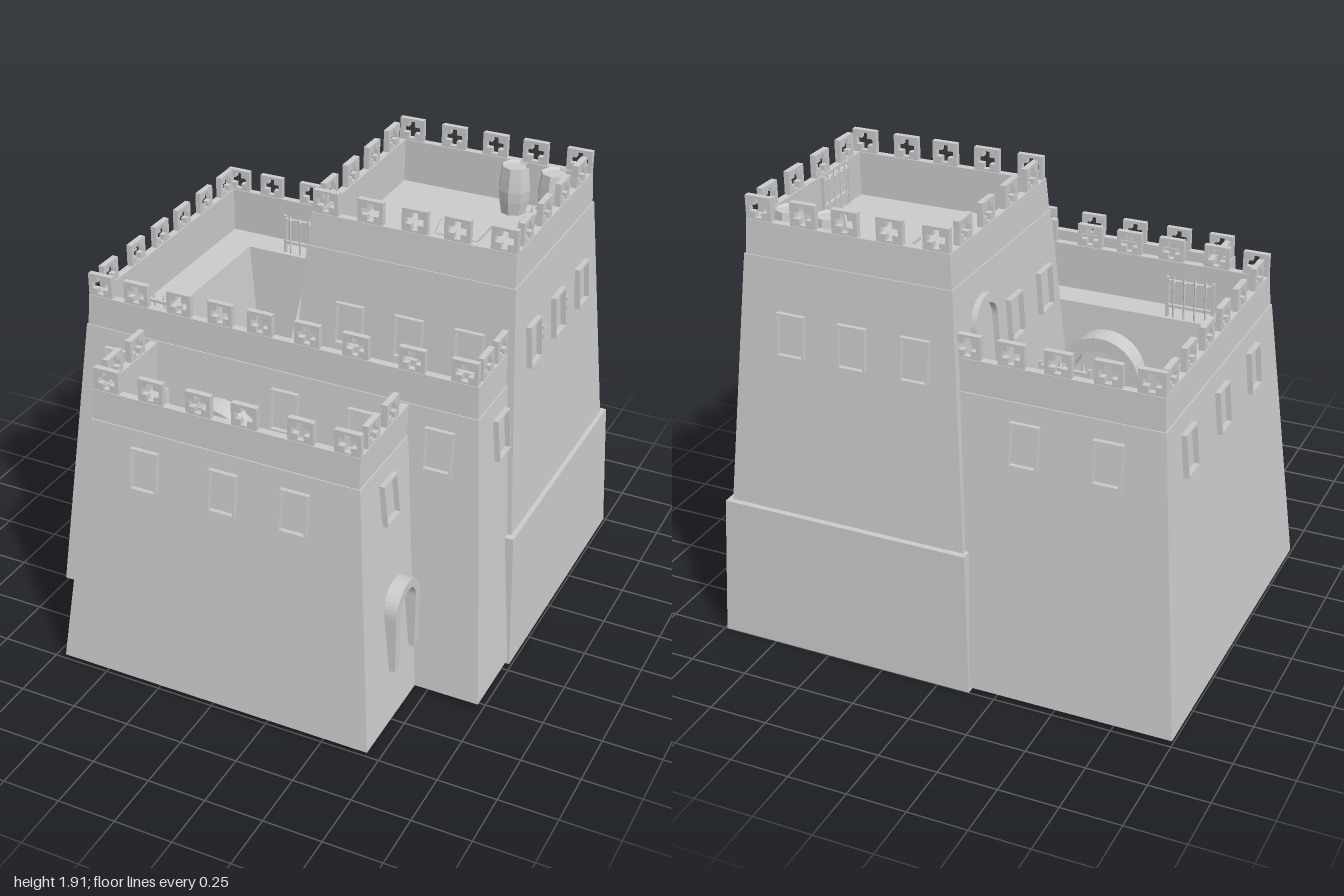
import * as THREE from 'three';

const mat = new THREE.MeshStandardMaterial({ color: 0xcccccc, flatShading: true, side: THREE.DoubleSide });
const FLOOR = 0.28;

function add(parent, geo, name, x = 0, y = 0, z = 0) {
  const m = new THREE.Mesh(geo, mat);
  m.name = name;
  m.position.set(x, y, z);
  parent.add(m);
  return m;
}

// Rectangular shell: rings of [y, x0, x1, z0, z1] joined by quads, last ring capped
function shell(rings) {
  const pos = [];
  const corners = ([y, x0, x1, z0, z1]) => [[x0, y, z1], [x1, y, z1], [x1, y, z0], [x0, y, z0]];
  const quad = (a, b, c, d) => pos.push(...a, ...b, ...c, ...a, ...c, ...d);
  for (let i = 0; i < rings.length - 1; i++) {
    const lo = corners(rings[i]), hi = corners(rings[i + 1]);
    for (let k = 0; k < 4; k++) quad(lo[k], lo[(k + 1) % 4], hi[(k + 1) % 4], hi[k]);
  }
  quad(...corners(rings[rings.length - 1]));
  const g = new THREE.BufferGeometry();
  g.setAttribute('position', new THREE.Float32BufferAttribute(pos, 3));
  g.computeVertexNormals();
  return g;
}

function rect(w, h, Type = THREE.Shape) {
  const s = new Type();
  s.moveTo(-w / 2, -h / 2);
  s.lineTo(w / 2, -h / 2);
  s.lineTo(w / 2, h / 2);
  s.lineTo(-w / 2, h / 2);
  s.closePath();
  return s;
}

function cross(a, b, Type = THREE.Path) {
  const pts = [[b, a], [b, b], [a, b], [a, -b], [b, -b], [b, -a], [-b, -a], [-b, -b], [-a, -b], [-a, b], [-b, b], [-b, a]];
  return new Type(pts.map(p => new THREE.Vector2(...p)));
}

const extrude = (shape, depth) => new THREE.ExtrudeGeometry(shape, { depth, bevelEnabled: false, curveSegments: 10 });

// Arch band standing on y = 0
function archGeo(w, h, t, depth) {
  const r = w / 2, s = new THREE.Shape();
  s.moveTo(r, 0);
  s.lineTo(r, h - r);
  s.absarc(0, h - r, r, 0, Math.PI, false);
  s.lineTo(-r, 0);
  s.lineTo(-r + t, 0);
  s.lineTo(-r + t, h - r);
  s.absarc(0, h - r, r - t, Math.PI, 0, true);
  s.lineTo(r - t, 0);
  s.closePath();
  return extrude(s, depth);
}

const merlonShape = rect(0.11, 0.1);
merlonShape.holes.push(cross(0.038, 0.014));
const merlonGeo = extrude(merlonShape, 0.025);
const frameShape = rect(0.122, 0.18);
frameShape.holes.push(rect(0.106, 0.164, THREE.Path));
const frameGeo = extrude(frameShape, 0.028);
const slitGeo = extrude(cross(0.028, 0.01, THREE.Shape), 0.01);
const doorGeo = archGeo(0.23, 0.37, 0.04, 0.06);

// Outer face of each block: side -> [ring index, sign, turn about y]
const SIDES = { front: [4, 1, 0], right: [2, 1, Math.PI / 2], back: [3, -1, Math.PI], left: [1, -1, -Math.PI / 2] };

// Group lying on a sloped wall, its +z pointing outwards; a wall runs between its first two rings
function onWall(parent, [a, b], side, u, y, name, upright = false) {
  const [k, sign, turn] = SIDES[side];
  const slope = (b[k] - a[k]) / (b[0] - a[0]);
  const d = a[k] + slope * (y - a[0]);
  const g = new THREE.Group();
  g.name = name;
  g.rotation.order = 'YXZ';
  g.rotation.set(upright ? 0 : Math.atan(slope * sign), turn, 0);
  if (k > 2) g.position.set(u, y, d);
  else g.position.set(d, y, u);
  parent.add(g);
  return g;
}

function windows(parent, rings, side, y, list) {
  for (const u of list) add(onWall(parent, rings, side, u, y, 'window'), frameGeo, 'windowFrame', 0, 0, -0.005);
}

function merlons(parent, rings, side, list) {
  const [k, sign, turn] = SIDES[side], top = rings[rings.length - 1];
  for (const u of list) {
    const d = top[k] - sign * 0.028;
    const m = add(parent, merlonGeo, 'merlon', k > 2 ? u : d, top[0] + 0.047, k > 2 ? d : u);
    m.rotation.y = turn;
  }
}

// Walls up to a parapet, walkway inside, optional sunken yard
function block(parent, name, outer, walkY, yard = []) {
  const [y, x0, x1, z0, z1] = outer[outer.length - 1], t = 0.033;
  const rim = h => [h, x0 + t, x1 - t, z0 + t, z1 - t];
  const g = new THREE.Group();
  g.name = name;
  parent.add(g);
  add(g, shell([...outer, rim(y), rim(walkY), ...yard]), name + 'Walls');
  return g;
}

function weaponRack(parent, x, y, z, turn) {
  const g = new THREE.Group();
  g.name = 'weaponRack';
  g.position.set(x, y, z);
  g.rotation.y = turn;
  parent.add(g);
  for (const s of [-1, 1]) add(g, new THREE.BoxGeometry(0.012, 0.18, 0.015), 'rackPost', s * 0.1, 0.09, 0);
  for (const h of [0.05, 0.16]) add(g, new THREE.BoxGeometry(0.2, 0.012, 0.015), 'rackRail', 0, h, 0);
  for (let i = 0; i < 4; i++) {
    const px = -0.07 + i * 0.047;
    add(g, new THREE.CylinderGeometry(0.004, 0.004, 0.165, 6), 'spearShaft', px, 0.0825, 0.01);
    add(g, new THREE.ConeGeometry(0.01, 0.03, 4), 'spearHead', px, 0.178, 0.01);
  }
}

export function createModel() {
  const root = new THREE.Group();
  root.name = 'castle';

  // Main keep with sunken courtyard; parapet stands slightly back from the wall
  const keep = [[0.02, -1, 0.98, -0.99, 0.535], [1.265, -0.887, 0.872, -0.852, 0.397], [1.265, -0.882, 0.867, -0.847, 0.392], [1.4, -0.875, 0.86, -0.84, 0.385]];
  const k = block(root, 'keep', keep, 1.2, [[1.2, -0.69, 0.69, -0.67, 0.22], [FLOOR, -0.58, 0.58, -0.62, 0.15]]);
  add(k, new THREE.BoxGeometry(1.38, 0.01, 0.89), 'keepBaseFloor', 0, FLOOR - 0.007, -0.225);
  merlons(k, keep, 'front', [-0.82, -0.65, -0.45, -0.26, -0.08, 0.13, 0.34, 0.58, 0.8]);
  merlons(k, keep, 'back', [-0.82, -0.65, -0.45, -0.26, -0.08]);
  merlons(k, keep, 'left', [-0.75, -0.56, -0.36, -0.17, 0.03, 0.25]);
  merlons(k, keep, 'right', [0.28, 0.13]);
  windows(k, keep, 'front', 1.1, [-0.73, 0.05, 0.39, 0.72]);
  windows(k, keep, 'back', 1.1, [-0.67, -0.33]);
  windows(k, keep, 'left', 1.1, [-0.65, -0.27, 0.11]);
  windows(k, keep, 'right', 1.1, [0.2]);
  weaponRack(k, -0.42, 1.2, -0.7, 0);
  weaponRack(k, -0.58, 1.2, 0.245, Math.PI);

  // Landing and ramp from the courtyard up to the tower door
  const ramp = new THREE.Shape([[-0.67, FLOOR], [0.05, FLOOR], [-0.5, 1.2], [-0.67, 1.2]].map(p => new THREE.Vector2(...p)));
  add(k, extrude(ramp, 0.3), 'ramp', -0.02, 0, 0).rotation.y = -Math.PI / 2;
  add(k, doorGeo, 'rampDoorArch', -0.29, FLOOR, -0.335).rotation.y = -Math.PI / 2;

  // Passage arches on both faces of the wall between courtyard and gatehouse
  const passage = archGeo(0.36, 0.82, 0.06, 0.1);
  add(k, passage, 'courtyardArch', -0.23, FLOOR, 0.115);
  add(k, passage, 'gateArch', -0.23, FLOOR, 0.44);

  // Front gatehouse, its back lying just inside the keep wall
  const gate = [[0.02, -0.7, 0.7, 0.53, 1], [1.13, -0.587, 0.587, 0.404, 0.852], [1.13, -0.582, 0.582, 0.404, 0.847], [1.26, -0.58, 0.58, 0.358, 0.837]];
  const f = block(root, 'gatehouse', gate, 1.07, [[1.07, -0.49, 0.49, 0.405, 0.75], [FLOOR, -0.42, 0.42, 0.5, 0.71]]);
  merlons(f, gate, 'front', [-0.52, -0.32, -0.11, 0.09, 0.33, 0.525]);
  windows(f, gate, 'front', 0.97, [-0.335, 0.015, 0.325]);
  for (const side of ['left', 'right']) {
    const s = side === 'left' ? -1 : 1;
    merlons(f, gate, side, [0.54, 0.71]);
    windows(f, gate, side, 0.97, [0.635]);
    add(onWall(f, gate, side, 0.635, 0.24, 'sideDoor', true), doorGeo, 'sideDoorArch', 0, 0, -0.035);
    add(f, doorGeo, 'innerDoorArch', s * 0.42, FLOOR, 0.635).rotation.y = -s * Math.PI / 2;
  }
  add(f, new THREE.BoxGeometry(0.035, 0.035, 0.23), 'doorSill', -0.728, 0.24, 0.635);

  // Tall tower with a wider plinth
  const plinth = [[0, -0.14, 0.99, -1, 0.21], [0.61, -0.115, 0.965, -0.97, 0.185]];
  const body = [[0.61, -0.1, 0.945, -0.945, 0.155], [1.67, -0.027, 0.87, -0.845, 0.065], [1.67, -0.022, 0.865, -0.84, 0.06], [1.81, -0.015, 0.86, -0.83, 0.045]];
  const t = block(root, 'tower', [...plinth, ...body], 1.62);
  add(t, new THREE.BoxGeometry(1.09, 0.01, 1.17), 'towerBaseFloor', 0.425, FLOOR - 0.011, -0.395);
  merlons(t, body, 'front', [0.045, 0.24, 0.43, 0.61, 0.805]);
  merlons(t, body, 'back', [0.045, 0.24, 0.43, 0.61, 0.805]);
  for (const side of ['left', 'right']) merlons(t, body, side, [-0.085, -0.285, -0.49, -0.69]);
  windows(t, body, 'front', 1.37, [0.18, 0.44, 0.7]);
  windows(t, body, 'back', 1.37, [0.12, 0.39, 0.66]);
  windows(t, body, 'right', 1.37, [-0.1, -0.38, -0.665]);
  windows(t, body, 'left', 1.37, [-0.35, -0.06]);
  for (const u of [-0.22, -0.5]) add(onWall(t, body, 'right', u, 1.36, 'crossSlit'), slitGeo, 'crossSlitTrim');
  add(onWall(t, body, 'left', -0.61, 1.2, 'towerDoor'), doorGeo, 'towerDoorArch', 0, 0, -0.035);

  // Things on the tower roof
  const stave = [[0, 0], [0.055, 0], [0.066, 0.06], [0.07, 0.105], [0.066, 0.15], [0.058, 0.21], [0.05, 0.2], [0, 0.2]];
  for (const x of [0.56, 0.735])
    add(t, new THREE.LatheGeometry(stave.map(p => new THREE.Vector2(...p)), 8), 'barrel', x, 1.62, -0.71);
  add(t, new THREE.BoxGeometry(0.18, 0.014, 0.165), 'hatch', 0.455, 1.627, -0.42);
  add(t, new THREE.BoxGeometry(0.165, 0.01, 0.335), 'mat', 0.275, 1.625, -0.32).rotation.y = 0.21;
  weaponRack(t, 0.79, 1.65, -0.26, -Math.PI / 2);

  return root;
}
